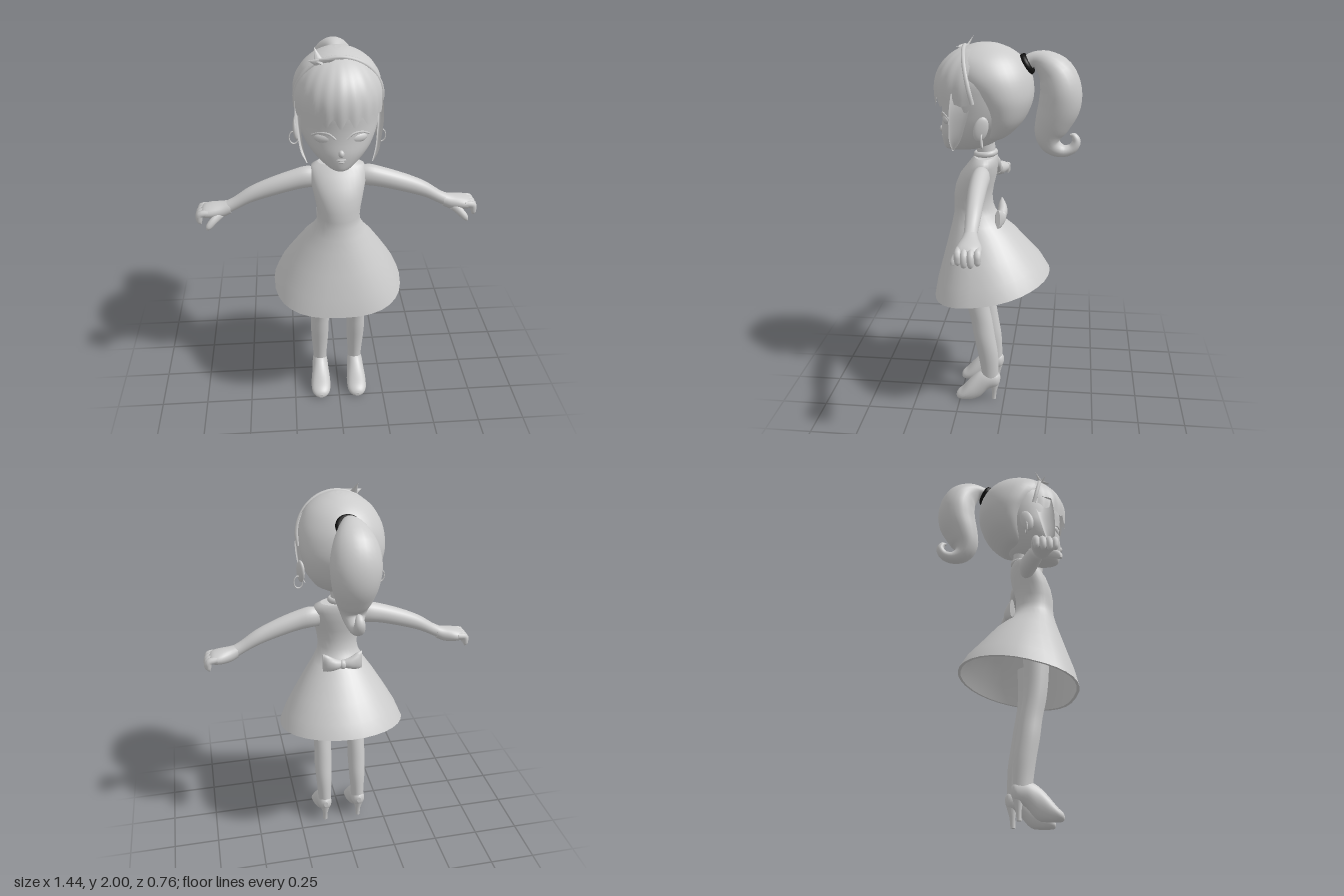
import * as THREE from 'three';

const V = (x, y, z) => new THREE.Vector3(x, y, z);
const X = V(1, 0, 0), Y = V(0, 1, 0), Z = V(0, 0, 1);
const grey = new THREE.MeshStandardMaterial({ color: 0xcccccc });
const greyThin = new THREE.MeshStandardMaterial({ color: 0xcccccc, side: THREE.DoubleSide });
const black = new THREE.MeshStandardMaterial({ color: 0x111111 });

// Adds in-between rows to a list of [x, y, z, ra, rb]
function smooth(rows, n) {
  const curve = (i) => new THREE.CatmullRomCurve3(
    rows.map((r) => (i ? V(r[3], r[4], 0) : V(r[0], r[1], r[2]))), false, 'catmullrom', 0.5);
  const a = curve(0), b = curve(1), out = [];
  for (let i = 0; i <= n; i++) {
    const p = a.getPoint(i / n), r = b.getPoint(i / n);
    out.push([p.x, p.y, p.z, Math.max(r.x, 0.001), Math.max(r.y, 0.001)]);
  }
  return out;
}

// Indexed grid surface; point(i, j) gives the vertices
function grid(rows, cols, wrap, point) {
  const pos = [], idx = [];
  for (let i = 0; i < rows; i++) for (let j = 0; j < cols; j++) pos.push(...point(i, j).toArray());
  for (let i = 0; i < rows - 1; i++) {
    for (let j = 0; j < (wrap ? cols : cols - 1); j++) {
      const a = i * cols + j, b = i * cols + (j + 1) % cols;
      idx.push(a, b, a + cols, b, b + cols, a + cols);
    }
  }
  const g = new THREE.BufferGeometry();
  g.setAttribute('position', new THREE.Float32BufferAttribute(pos, 3));
  g.setIndex(idx);
  g.computeVertexNormals();
  return g;
}

// Closed loft of elliptical rings; side is the ring's first axis, dir its fixed normal (else the path tangent)
function loft(rows, side, dir, seg = 24, shape = (p) => p) {
  const first = rows[0], last = rows[rows.length - 1];
  const cap = (r) => [r[0], r[1], r[2], 0, 0, r[5]];
  const all = [cap(first), first, ...rows, last, cap(last)];
  const at = (i) => V(...all[Math.min(Math.max(i, 0), all.length - 1)].slice(0, 3));
  return grid(all.length, seg, true, (i, j) => {
    const k = Math.min(Math.max(i, 2), all.length - 3);
    const t = dir || at(k + 1).sub(at(k - 1)).normalize();
    const n = t.clone().cross(side).normalize();
    const a = (j / seg) * Math.PI * 2, r = all[i];
    const p = at(i).addScaledVector(side, r[3] * Math.cos(a)).addScaledVector(n, r[4] * Math.sin(a));
    return shape(p, r, a);
  });
}

// Upright ring from height, half width, front z and back z
const ring = ([y, rx, zf, zb, w = 0]) => [0, y, (zf + zb) / 2, rx, (zf - zb) / 2, w];

function mirrored(geo) {
  const g = geo.clone().scale(-1, 1, 1), ix = g.index.array;
  for (let i = 0; i < ix.length; i += 3) [ix[i], ix[i + 1]] = [ix[i + 1], ix[i]];
  return g;
}

export function createModel() {
  const model = new THREE.Group();
  const add = (name, geo, mat = grey) => {
    const m = new THREE.Mesh(geo, mat);
    m.name = name;
    model.add(m);
    return m;
  };
  const pair = (name, geo, mat) => {
    add('left' + name, geo, mat);
    add('right' + name, mirrored(geo), mat);
  };
  const ball = (x, y, z, rx, ry, rz, turn = 0) =>
    new THREE.SphereGeometry(1, 20, 14).scale(rx, ry, rz).rotateY(turn).translate(x, y, z);

  // Dress: inner skirt down to the hem, then the outside up to the neckline
  const outer = [
    [0.715, 0.34, 0.38, -0.24, 1], [0.8, 0.305, 0.362, -0.2, 0.8], [0.9, 0.248, 0.33, -0.13, 0.5],
    [1.0, 0.185, 0.3, -0.055, 0.25], [1.06, 0.14, 0.283, 0.01, 0.1], [1.11, 0.112, 0.272, 0.05],
    [1.15, 0.106, 0.27, 0.065], [1.2, 0.11, 0.271, 0.07], [1.26, 0.122, 0.26, 0.06],
    [1.32, 0.135, 0.235, 0.045], [1.37, 0.14, 0.195, 0.04], [1.4, 0.13, 0.172, 0.04], [1.415, 0.1, 0.16, 0.045]];
  const inner = outer.slice(0, 4).reverse().map(([y, rx, f, b, w]) => [y, rx - 0.014, f - 0.014, b + 0.014, w]);
  const hem = [inner[3], outer[0]];
  add('dress', loft([...inner, ...hem, ...outer].map(ring), X, Y, 32, (p, r, a) => {
    const w = r[5], c = Math.cos(a), s = -Math.sin(a);
    if (s > 0) { // fuller front
      const full = (v) => Math.sign(v) * Math.pow(Math.abs(v), 1 - 0.2 * w);
      p.x = r[3] * full(c);
      p.z = r[2] + r[4] * full(s);
    }
    p.y -= 0.194 * (p.z - 0.07) * w;
    return p;
  }));

  // Back bow
  const bow = smooth([[0, 1.085, 0.025, 0.018, 0.02], [0.04, 1.088, 0.02, 0.026, 0.032],
    [0.08, 1.095, 0.025, 0.024, 0.048], [0.105, 1.1, 0.03, 0.012, 0.052]], 9);
  pair('BowLoop', loft(bow, Z, X, 16));
  add('bowKnot', ball(0, 1.085, 0.018, 0.022, 0.026, 0.022));

  // Neck and collar
  add('neck', loft([[0, 1.36, 0.1, 0.052, 0.05], [0, 1.44, 0.1, 0.046, 0.047], [0, 1.54, 0.11, 0.052, 0.055]], X, Y));
  add('collar', new THREE.TorusGeometry(0.05, 0.013, 10, 28).rotateX(Math.PI / 2 + 0.1).scale(1, 1.2, 1).translate(0, 1.427, 0.102));

  // Arms
  pair('Arm', loft(smooth([[0.11, 1.335, 0.11, 0.04, 0.052], [0.16, 1.335, 0.11, 0.047, 0.056], [0.22, 1.322, 0.112, 0.046, 0.053],
    [0.3, 1.298, 0.112, 0.044, 0.05], [0.38, 1.27, 0.11, 0.04, 0.046], [0.45, 1.24, 0.108, 0.037, 0.041],
    [0.52, 1.198, 0.108, 0.032, 0.035], [0.57, 1.172, 0.106, 0.034, 0.035]], 20), Z, X));

  // Hands: palm, curled fingers, thumb
  pair('Palm', loft(smooth([[0.54, 1.182, 0.107, 0.034, 0.035], [0.58, 1.168, 0.104, 0.044, 0.04], [0.63, 1.163, 0.1, 0.058, 0.038],
    [0.67, 1.16, 0.1, 0.058, 0.03], [0.69, 1.155, 0.1, 0.045, 0.018]], 12), Z, X));
  [0.055, 0.085, 0.115, 0.143].forEach((z, i) => {
    const d = i === 0 || i === 3 ? 0.008 : 0;
    pair('Finger' + (i + 1), loft(smooth([[0.65, 1.165, z, 0.016, 0.017], [0.69, 1.16, z, 0.017, 0.018],
      [0.705 - d, 1.135, z, 0.016, 0.015], [0.705 - d, 1.11 + d, z, 0.013, 0.012], [0.7 - d, 1.1 + d, z, 0.005, 0.005]], 12), Z, null, 12));
  });
  pair('Thumb', loft(smooth([[0.59, 1.155, 0.13, 0.02, 0.022], [0.625, 1.13, 0.155, 0.019, 0.02],
    [0.65, 1.105, 0.17, 0.015, 0.016], [0.66, 1.088, 0.174, 0.006, 0.006]], 10), Z, null, 12));

  // Legs
  pair('Leg', loft(smooth([[0.1, 0.11, 0.075, 0.036, 0.045], [0.1, 0.2, 0.08, 0.039, 0.05], [0.1, 0.3, 0.09, 0.046, 0.056],
    [0.1, 0.4, 0.107, 0.05, 0.058], [0.098, 0.5, 0.122, 0.049, 0.058], [0.096, 0.6, 0.142, 0.053, 0.06],
    [0.095, 0.7, 0.152, 0.056, 0.063], [0.095, 0.83, 0.155, 0.06, 0.068]], 24), X, Y));

  // Heeled shoes
  pair('Shoe', loft(smooth([[0.101, 0.135, 0.022, 0.012, 0.02], [0.101, 0.13, 0.04, 0.034, 0.045], [0.101, 0.125, 0.09, 0.043, 0.06],
    [0.101, 0.09, 0.14, 0.048, 0.08], [0.102, 0.058, 0.19, 0.054, 0.066], [0.103, 0.032, 0.235, 0.051, 0.036],
    [0.103, 0.022, 0.262, 0.034, 0.022], [0.103, 0.018, 0.272, 0.012, 0.01]], 24), X, Z, 24, (p) => {
    p.y = Math.max(p.y, 0);
    return p;
  }));
  pair('ShoeHeel', loft([[0.101, 0, 0.058, 0.013, 0.012], [0.101, 0.05, 0.056, 0.014, 0.014], [0.101, 0.12, 0.052, 0.032, 0.03]], X, Y, 14));

  // Face and skull
  add('head', loft(smooth([[1.447, 0.03, 0.295, 0.2], [1.458, 0.062, 0.312, 0.12], [1.49, 0.105, 0.32, 0.05], [1.54, 0.148, 0.325, 0.0],
    [1.6, 0.178, 0.32, -0.05], [1.66, 0.19, 0.32, -0.09], [1.74, 0.196, 0.325, -0.11], [1.82, 0.19, 0.3, -0.1],
    [1.9, 0.14, 0.25, -0.04]].map(ring), 28), X, Y, 36));
  add('nose', ball(0, 1.548, 0.322, 0.014, 0.018, 0.016));
  add('upperLip', ball(0, 1.517, 0.318, 0.026, 0.006, 0.01));
  add('lowerLip', ball(0, 1.506, 0.316, 0.019, 0.006, 0.01));
  pair('Eye', ball(0.078, 1.614, 0.285, 0.047, 0.025, 0.02, 0.36));
  const lash = [V(0.025, 1.618, 0.318), V(0.055, 1.642, 0.311), V(0.095, 1.643, 0.292), V(0.132, 1.622, 0.261)];
  pair('Eyelid', new THREE.TubeGeometry(new THREE.CatmullRomCurve3(lash), 14, 0.005, 6));
  pair('Ear', ball(0, 0, 0, 0.016, 0.062, 0.036, 0.3).rotateX(-0.25).translate(0.198, 1.595, 0.1));
  pair('Earring', new THREE.TorusGeometry(0.032, 0.004, 8, 24).scale(0.7, 1, 1).translate(0.212, 1.54, 0.095));

  // Swept-back hair
  add('hairCap', loft(smooth([[1.505, 0.06, 0.1, 0.035], [1.53, 0.12, 0.11, -0.02], [1.6, 0.17, 0.12, -0.09], [1.68, 0.198, 0.15, -0.13],
    [1.75, 0.21, 0.2, -0.142], [1.83, 0.203, 0.265, -0.13], [1.9, 0.167, 0.275, -0.09], [1.945, 0.115, 0.225, -0.035],
    [1.972, 0.055, 0.16, 0.03], [1.979, 0.015, 0.12, 0.07]].map(ring), 32), X, Y, 36));

  // Fringe with pointed strands
  const strands = 9, per = 6, cols = strands * per + 1, rows = 15;
  add('fringe', grid(rows, cols, false, (i, j) => {
    const a = (j / (cols - 1) * 2 - 1) * 1.36;
    const f = Math.abs((j % per) / per - 0.45);
    const hemY = 1.685 + 0.07 * f + 0.012 * Math.sin(j * 0.9);
    const t = i / (rows - 1), y = 1.955 + (hemY - 1.955) * t * (0.35 + 0.65 * t);
    const h = y - 1.76;
    const r = (h > 0 ? Math.sqrt(1 - (h / 0.215) ** 2) : 1 - 4 * h * h) - 0.05 * f * t;
    return V(0.213 * r * Math.sin(a), y, 0.11 + 0.25 * r * Math.cos(a));
  }).scale(1, 1, 1), greyThin);

  // Side locks
  pair('SideLock', loft(smooth([[0.185, 1.76, 0.19, 0.018, 0.055], [0.192, 1.68, 0.205, 0.014, 0.05], [0.186, 1.6, 0.22, 0.01, 0.04],
    [0.176, 1.53, 0.232, 0.008, 0.028], [0.155, 1.475, 0.245, 0.003, 0.004]], 16), X, Y, 14));

  // Headband with a leafy bow
  const bandPts = [];
  for (let i = 0; i <= 12; i++) {
    const a = -0.2 + (i / 12) * (Math.PI + 0.4);
    bandPts.push(V(0.203 * Math.cos(a), 1.755 + 0.205 * Math.sin(a), 0.15 + 0.05 * Math.sin(a)));
  }
  add('headband', new THREE.TubeGeometry(new THREE.CatmullRomCurve3(bandPts), 48, 0.011, 8));
  [[-0.02, 0.06, -0.035], [0.07, 0.02, 0.03], [-0.05, 0.015, 0.02], [0.01, 0.005, 0.055]].forEach((d, i) => {
    const dir = V(...d), len = dir.length();
    const leaf = new THREE.ConeGeometry(0.024, len, 8).scale(1, 1, 0.35).translate(0, len / 2, 0);
    leaf.applyQuaternion(new THREE.Quaternion().setFromUnitVectors(Y, dir.normalize()));
    add('bandLeaf' + (i + 1), leaf.translate(-0.09, 1.94, 0.205));
  });

  // Ponytail and hair tie
  const tail = [[1.87, -0.085, 0.034, 0.034], [1.898, -0.135, 0.04, 0.038], [1.885, -0.19, 0.072, 0.062], [1.835, -0.245, 0.105, 0.09],
    [1.76, -0.272, 0.12, 0.102], [1.68, -0.268, 0.115, 0.105], [1.6, -0.24, 0.098, 0.092], [1.53, -0.22, 0.075, 0.073],
    [1.475, -0.235, 0.055, 0.05], [1.447, -0.285, 0.038, 0.033], [1.458, -0.335, 0.03, 0.026],
    [1.495, -0.358, 0.026, 0.022], [1.525, -0.345, 0.018, 0.016], [1.53, -0.325, 0.005, 0.005]];
  add('ponytail', loft(smooth(tail.map(([y, z, rx, rn]) => [0, y, z, rx, rn]), 48), X, null, 24));
  add('hairTie', new THREE.TorusGeometry(0.042, 0.014, 10, 28).scale(1.1, 1, 1.2).rotateX(0.53).translate(0, 1.878, -0.106), black);

  return model;
}
